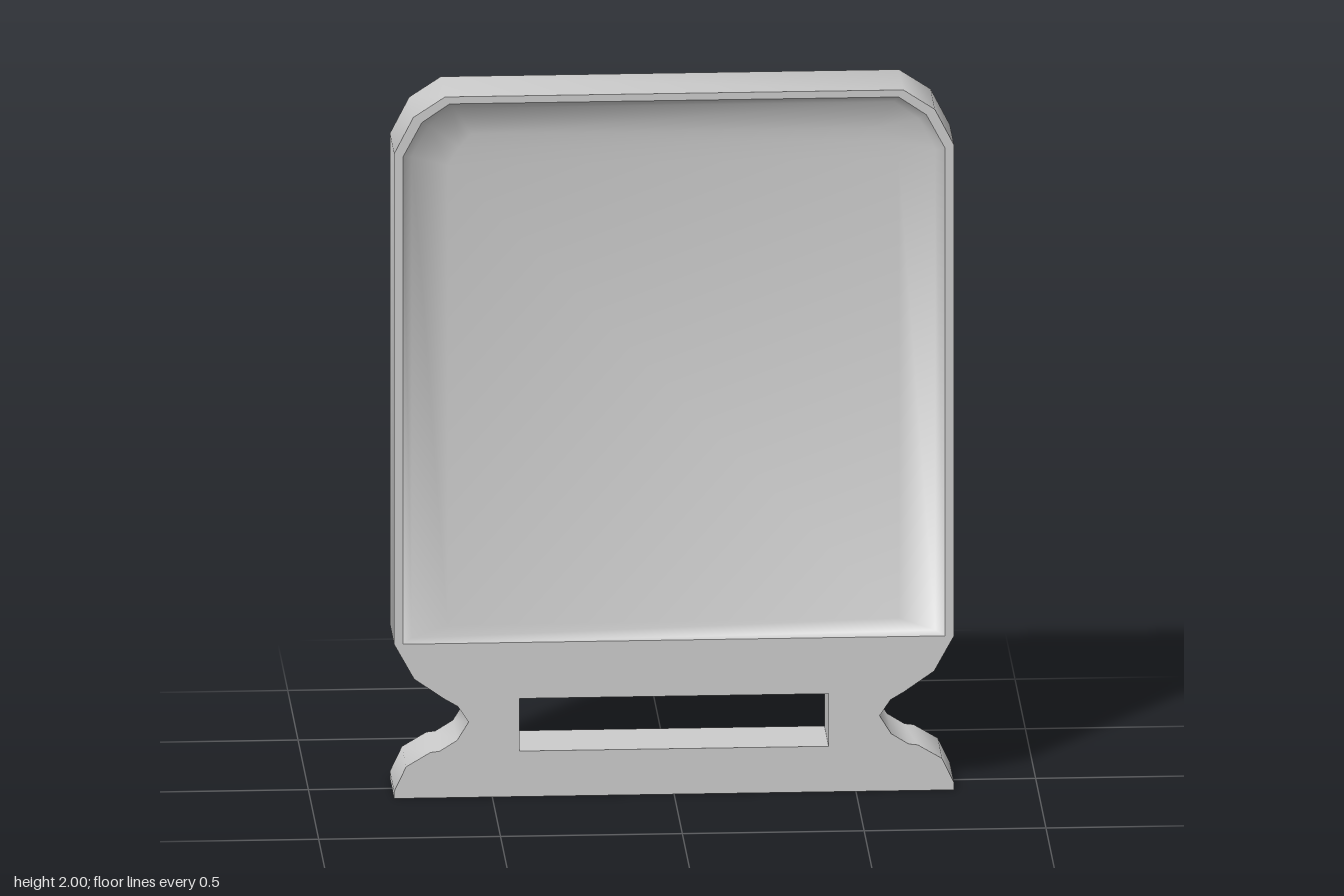
import * as THREE from 'three';
import { toCreasedNormals } from 'three/addons/utils/BufferGeometryUtils.js';

const HALF_DEPTH = 0.103;
const material = new THREE.MeshStandardMaterial({ color: 0xcccccc });

// Closed loop, counter-clockwise, from its +x half listed bottom to top
function mirrorLoop(half) {
  return [...half, ...half.map(([x, y]) => [-x, y]).reverse()].map(([x, y]) => new THREE.Vector2(x, y));
}

// Recess contour: side, bottom and top insets from the plate edge
function recessLoop(side, bottom, top) {
  return mirrorLoop([
    [0.77 - side, 0.43 + bottom],
    [0.77 - side, 1.84 - top * 0.4],
    [0.715 - side * 0.85, 1.945 - top * 0.85],
    [0.63 - side * 0.5, 2 - top],
  ]);
}

// Shallow dish: sloping rings down to a flat floor
function dishGeometry(rings) {
  const pos = [], idx = [], n = rings[0].loop.length;
  for (const { loop, z } of rings) for (const p of loop) pos.push(p.x, p.y, z);
  for (let r = 0; r < rings.length - 1; r++) {
    for (let i = 0; i < n; i++) {
      const j = (i + 1) % n, o = r * n, q = o + n;
      idx.push(o + i, o + j, q + j, o + i, q + j, q + i);
    }
  }
  const f = (rings.length - 1) * n;
  for (let i = 0; i < n / 2 - 1; i++) {
    const a = f + i, b = a + 1, c = f + n - 2 - i, d = c + 1;
    idx.push(a, b, c, a, c, d);
  }
  const g = new THREE.BufferGeometry();
  g.setAttribute('position', new THREE.Float32BufferAttribute(pos, 3));
  g.setIndex(idx);
  return toCreasedNormals(g, Math.PI);
}

export function createModel() {
  const group = new THREE.Group();
  group.name = 'slottedPlate';

  // Plate outline: flared foot, waist notch, rounded upper panel
  const outline = new THREE.Shape(mirrorLoop([
    [0.77, 0], [0.77, 0.02], [0.737, 0.09], [0.67, 0.13], [0.645, 0.133],
    [0.597, 0.163], [0.565, 0.215], [0.595, 0.26], [0.632, 0.282],
    [0.715, 0.34], [0.77, 0.44], [0.77, 1.84], [0.717, 1.943], [0.63, 2],
  ]));
  const slot = mirrorLoop([[0.425, 0.13], [0.425, 0.28]]);
  const rim = recessLoop(0.025, 0.01, 0.02);
  outline.holes.push(new THREE.Path(slot), new THREE.Path(rim));
  const plate = new THREE.ExtrudeGeometry(outline, { depth: 2 * HALF_DEPTH, bevelEnabled: false });
  plate.translate(0, 0, -HALF_DEPTH);
  const frame = new THREE.Mesh(toCreasedNormals(plate, 1.15), material);
  frame.name = 'frame';
  group.add(frame);

  // Dished panels on both faces
  const dish = dishGeometry([
    { loop: rim, z: HALF_DEPTH },
    { loop: recessLoop(0.05, 0.02, 0.04), z: HALF_DEPTH - 0.025 },
    { loop: recessLoop(0.15, 0.05, 0.12), z: HALF_DEPTH - 0.045 },
  ]);
  for (const [name, angle] of [['frontPanel', 0], ['backPanel', Math.PI]]) {
    const panel = new THREE.Mesh(dish, material);
    panel.name = name;
    panel.rotation.y = angle;
    group.add(panel);
  }
  return group;
}
